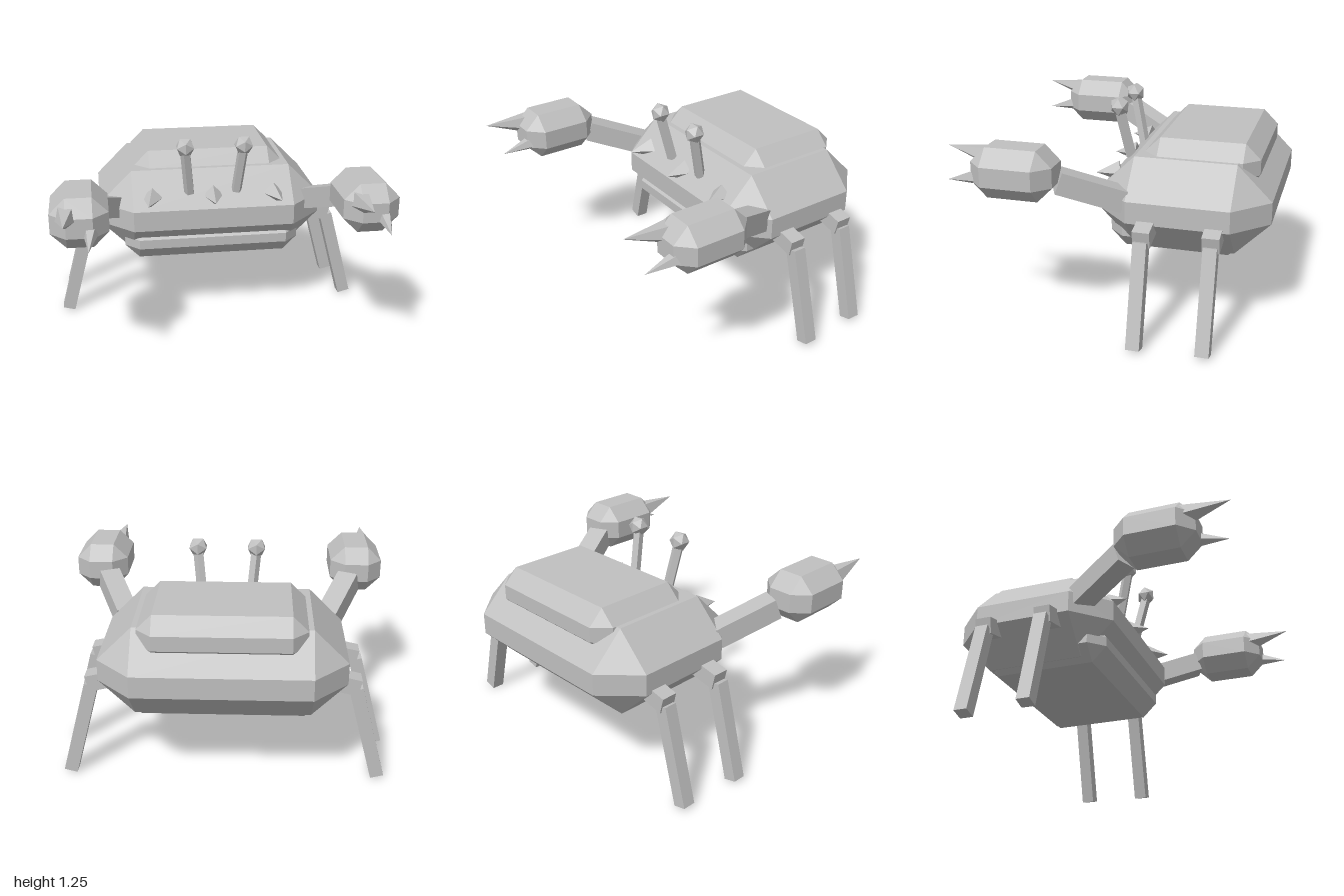
import * as THREE from 'three';
import { ConvexGeometry } from 'three/addons/geometries/ConvexGeometry.js';

const V = (x, y, z) => new THREE.Vector3(x, y, z);

export function createModel() {
  const group = new THREE.Group();
  const grey = new THREE.MeshStandardMaterial({ color: 0xc0c0c0, flatShading: true });
  grey.name = 'shellGrey';

  const add = (name, geometry) => {
    const mesh = new THREE.Mesh(geometry, grey);
    mesh.name = name;
    group.add(mesh);
    return mesh;
  };

  // Box with every edge chamfered by c, given by its lowest and highest corners
  const chamferBox = (name, lo, hi, c) => {
    const mid = lo.clone().add(hi).multiplyScalar(0.5);
    const h = hi.clone().sub(lo).multiplyScalar(0.5);
    const points = [];
    for (const sx of [-1, 1]) for (const sy of [-1, 1]) for (const sz of [-1, 1]) {
      points.push(
        V(sx * h.x, sy * (h.y - c), sz * (h.z - c)),
        V(sx * (h.x - c), sy * h.y, sz * (h.z - c)),
        V(sx * (h.x - c), sy * (h.y - c), sz * h.z));
    }
    add(name, new ConvexGeometry(points)).position.copy(mid);
  };

  // Square beam between two points
  const beam = (name, a, b, w, t = w) => {
    const mesh = add(name, new THREE.BoxGeometry(w, t, a.distanceTo(b)));
    mesh.position.copy(a).lerp(b, 0.5);
    mesh.lookAt(b);
  };

  // Tapered round piece between two points
  const taper = (name, a, b, r0, r1, sides) => {
    const len = a.distanceTo(b);
    const geometry = r1 > 0 ? new THREE.CylinderGeometry(r1, r0, len, sides)
      : new THREE.ConeGeometry(r0, len, sides);
    const mesh = add(name, geometry.rotateX(Math.PI / 2));
    mesh.position.copy(a).lerp(b, 0.5);
    mesh.lookAt(b);
  };

  // Body
  chamferBox('shell', V(-0.715, 0.46, -0.925), V(0.715, 1.0, 0.085), 0.205);
  chamferBox('belly', V(-0.565, 0.43, -0.77), V(0.565, 0.67, 0.03), 0.09);
  chamferBox('backPlate', V(-0.48, 0.82, -0.835), V(0.48, 1.09, -0.155), 0.09);

  // Spikes along the front edge of the shell
  for (const s of [-1, 0, 1]) {
    taper('shellSpike', V(s * 0.385, 0.86, 0), V(s * 0.42, 0.85, 0.14), 0.065, 0, 4);
  }

  for (const s of [-1, 1]) {
    // Eyes on stalks
    taper('eyeStalk', V(s * 0.15, 0.88, -0.005), V(s * 0.18, 1.18, 0.06), 0.034, 0.034, 5);
    add('eye', new THREE.IcosahedronGeometry(0.062, 0)).position.set(s * 0.182, 1.2, 0.062);

    // Arms and claws; both claws hold their pincers the same way round
    beam('arm', V(s * 0.63, 0.78, -0.085), V(s * 0.785, 0.915, 0.25), 0.13);
    const cx = s * 0.835;
    chamferBox('claw', V(cx - 0.165, 0.82, 0.235), V(cx + 0.165, 1.115, 0.715), 0.09);
    taper('upperPincer', V(cx - 0.07, 1.015, 0.63), V(cx - 0.08, 1.06, 0.92), 0.072, 0, 5);
    taper('lowerPincer', V(cx + 0.065, 0.945, 0.63), V(cx + 0.045, 0.895, 0.875), 0.058, 0, 5);

    // Legs
    for (const [z, inset] of [[-0.24, 0], [-0.63, 0.03]]) {
      beam('upperLeg', V(s * 0.58, 0.665, z), V(s * (0.81 - inset * 0.7), 0.615, z), 0.1);
      beam('lowerLeg', V(s * (0.80 - inset), 0.6, z), V(s * (0.957 - inset), 0.01, z), 0.08);
    }
  }
  return group;
}
